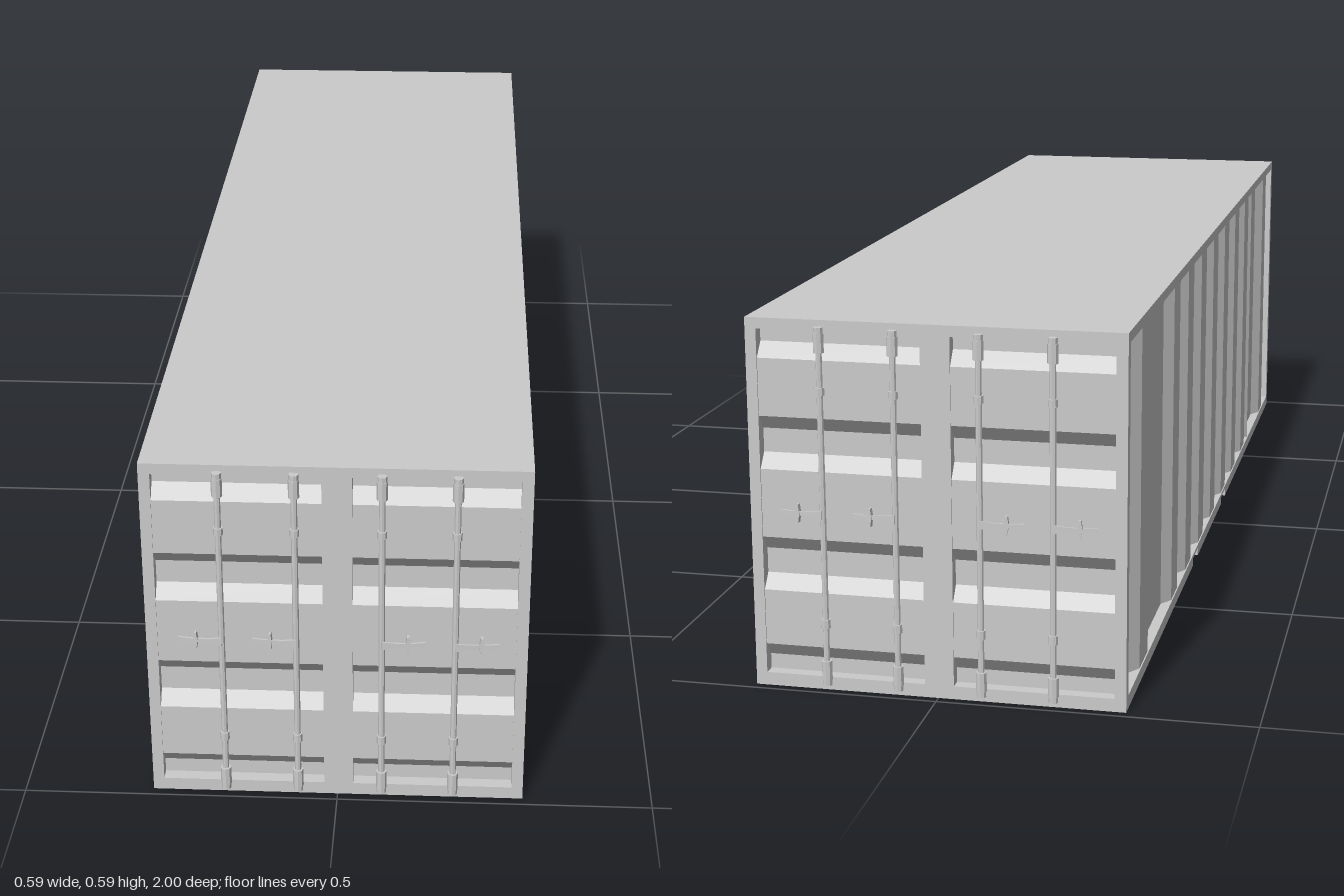
import * as THREE from 'three';

const W = 0.295, H = 0.59, L = 0.985;     // half width, height, half length
const SIDE_D = 0.017, END_D = 0.02;       // recess depth of side and end panels
const Y0 = 0.021, Y1 = 0.573;             // bottom and top of panel openings

const material = new THREE.MeshStandardMaterial({ color: 0xcccccc, flatShading: true });

function add(parent, name, geometry, x = 0, y = 0, z = 0) {
  const mesh = new THREE.Mesh(geometry, material);
  mesh.name = name;
  mesh.position.set(x, y, z);
  parent.add(mesh);
  return mesh;
}

function extrude(points, depth, holes = []) {
  const shape = new THREE.Shape(points.map(p => new THREE.Vector2(...p)));
  for (const [x0, x1] of holes) {
    shape.holes.push(new THREE.Path(
      [[x0, Y0], [x0, Y1], [x1, Y1], [x1, Y0]].map(p => new THREE.Vector2(...p))));
  }
  return new THREE.ExtrudeGeometry(shape, { depth, bevelEnabled: false });
}

// Trapezoid rib: runs from a to b across, rises by d, with sloped flanks
const rib = (a, b, d, slope, length) =>
  extrude([[a, 0], [b, 0], [b - slope, d], [a + slope, d]], length);

// Long wall, built facing +z and then turned; u runs along the wall
function buildSide(name, sign) {
  const side = new THREE.Group();
  side.name = name;

  // Frame with two fork pockets cut into the bottom rail
  const outline = [[-L, 0]];
  for (const u of [-0.24, 0.16]) {
    outline.push([u - 0.03, 0], [u - 0.03, 0.014], [u + 0.03, 0.014], [u + 0.03, 0]);
  }
  outline.push([L, 0], [L, H], [-L, H]);
  add(side, 'sideFrame', extrude(outline, SIDE_D, [[-0.967, 0.967]]), 0, 0, W - SIDE_D);

  // Vertical corrugation
  const ribs = [[-0.876, -0.752], [0.565, 0.613], [0.79, 0.897]];
  for (let i = 0; i < 7; i++) ribs.push([-0.549 + i * 0.165, -0.437 + i * 0.165]);
  for (const [a, b] of ribs) {
    const mesh = add(side, 'sideRib', rib(a, b, 0.015, 0.023, Y1 - Y0), 0, Y1, W - SIDE_D);
    mesh.rotation.x = Math.PI / 2;
  }
  side.rotation.y = sign * Math.PI / 2;
  return side;
}

// Locking bar with its clamps and handle; dir points the handle outwards
function buildLock(x, dir) {
  const lock = new THREE.Group();
  lock.name = 'lockingBar';
  lock.position.set(x, 0, 0.99);
  const tube = (name, y0, y1, r) =>
    add(lock, name, new THREE.CylinderGeometry(r, r, y1 - y0, 8), 0, (y0 + y1) / 2, 0);
  tube('bar', 0.01, 0.58, 0.005);
  tube('topCam', 0.571, 0.58, 0.0075);
  tube('bottomCam', 0.01, 0.019, 0.0075);
  tube('topClamp', 0.541, 0.571, 0.0085);
  tube('bottomClamp', 0.019, 0.05, 0.0085);
  tube('upperGuide', 0.475, 0.487, 0.0075);
  tube('lowerGuide', 0.104, 0.118, 0.0075);

  // Flat handle tapering away from the bar, with an upright catch
  const handle = new THREE.Group();
  handle.name = 'handle';
  handle.position.set(0, 0.287, 0.003);
  const grip = [[0, -0.007], [0.022, -0.004], [0.05, -0.003], [0.068, -0.004],
    [0.068, 0.004], [0.05, 0.003], [0.022, 0.004], [0, 0.007]];
  add(handle, 'grip', extrude(grip, 0.003));
  const catchShape = [[0.039, -0.014], [0.042, -0.014], [0.045, 0], [0.043, 0.015],
    [0.039, 0.015], [0.037, 0]];
  add(handle, 'catch', extrude(catchShape, 0.008), 0, 0, -0.004);
  // Lean towards the door; the left-hand handle is the right one turned over
  handle.rotation.set(0, 0.1 * dir, dir > 0 ? 0 : Math.PI);
  lock.add(handle);
  return lock;
}

// Door end, built facing +z
function buildEnd(name) {
  const end = new THREE.Group();
  end.name = name;
  const x = W - SIDE_D;
  const openings = [[-0.2775, -0.021], [0.025, 0.277]];
  add(end, 'doorFrame', extrude([[-x, 0], [x, 0], [x, H], [-x, H]], END_D, openings), 0, 0, L - END_D);

  // Horizontal corrugation of the two doors
  const toHorizontal = new THREE.Matrix4().makeBasis(
    new THREE.Vector3(0, 1, 0), new THREE.Vector3(0, 0, 1), new THREE.Vector3(1, 0, 0));
  for (const [x0, x1] of openings) {
    for (const [a, b] of [[0.045, 0.18], [0.22, 0.375], [0.413, 0.55]]) {
      add(end, 'doorRib', rib(a, b, 0.018, 0.023, x1 - x0).applyMatrix4(toHorizontal), x0, 0, L - END_D);
    }
  }
  for (const [bx, dir] of [[-0.177, -1], [-0.062, -1], [0.07, 1], [0.183, 1]]) {
    end.add(buildLock(bx, dir));
  }
  return end;
}

export function createModel() {
  const model = new THREE.Group();
  model.name = 'shippingContainer';

  // Inner box: its faces are the recessed panels, roof and floor
  add(model, 'body', new THREE.BoxGeometry(2 * (W - SIDE_D), H, 2 * (L - END_D)), 0, H / 2, 0);

  model.add(buildSide('leftSide', 1), buildSide('rightSide', -1));
  const back = buildEnd('backDoors');
  back.rotation.y = Math.PI;
  model.add(buildEnd('frontDoors'), back);
  return model;
}
